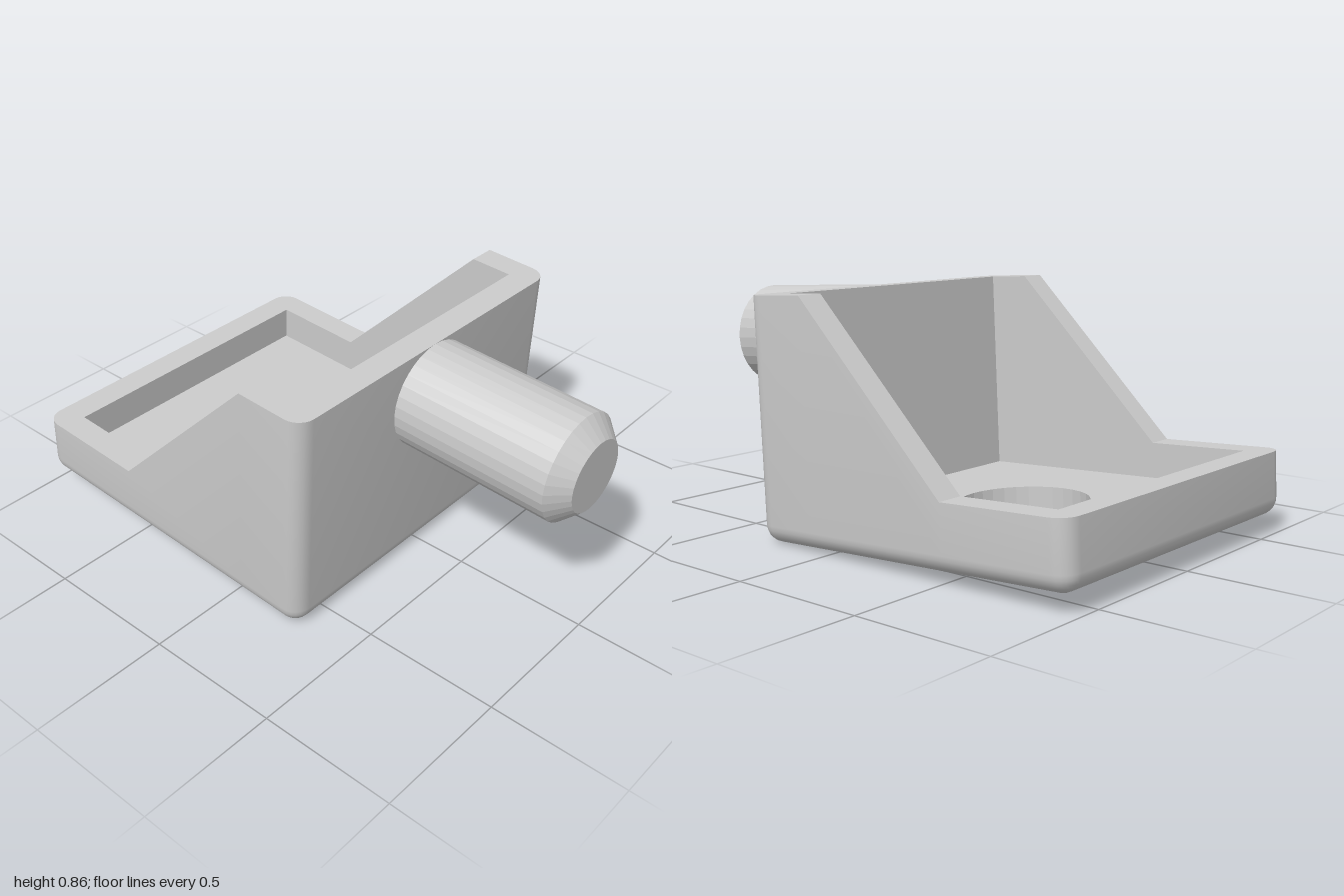
import * as THREE from 'three';
import { toCreasedNormals } from 'three/addons/utils/BufferGeometryUtils.js';

// Sizes in the bracket's own frame: x along the base, y up, z across
const L = 1.305, W = 0.655, H = 0.854, LOW = 0.232;
const R = 0.065, WALL = 0.1, S0 = 0.4715, S1 = 1.045;

// Height of the rim at a given x: low lip, slope, tall back
const rimY = x => LOW + (H - LOW) * THREE.MathUtils.clamp((x - S0) / (S1 - S0), 0, 1);

// Rounded rectangle, inset by d, with points where the rim bends
function outline(d) {
  const pts = [], steps = 6;
  for (let q = 0; q < 4; q++) {
    const cx = q === 0 || q === 3 ? L - R : R;
    const cz = q < 2 ? W - R : R - W;
    for (let i = 0; i <= steps; i++) {
      const t = (q + i / steps) * Math.PI / 2;
      pts.push([cx + (R - d) * Math.cos(t), cz + (R - d) * Math.sin(t)]);
    }
    if (q === 0) pts.push([S1, W - d], [S0, W - d]);
    if (q === 2) pts.push([S0, d - W], [S1, d - W]);
  }
  return pts;
}

// Skin closed rings of points together, skipping collapsed triangles
function loft(rings) {
  const pos = [], tri = new THREE.Triangle();
  const add = (a, b, c) => {
    tri.set(a, b, c);
    if (tri.getArea() > 1e-9) for (const p of [a, b, c]) pos.push(p.x, p.y, p.z);
  };
  for (let k = 0; k + 1 < rings.length; k++) {
    const lo = rings[k], hi = rings[k + 1], n = lo.length;
    for (let i = 0; i < n; i++) {
      const j = (i + 1) % n;
      add(lo[i], hi[i], hi[j]);
      add(lo[i], hi[j], lo[j]);
    }
  }
  const g = new THREE.BufferGeometry();
  g.setAttribute('position', new THREE.Float32BufferAttribute(pos, 3));
  return toCreasedNormals(g, 0.6);
}

export function createModel() {
  const model = new THREE.Group();
  const bracket = new THREE.Group();
  bracket.name = 'bracket';
  bracket.rotation.z = -THREE.MathUtils.degToRad(3);
  bracket.position.set(-1.003, 0.065, 0);
  model.add(bracket);

  const smooth = new THREE.MeshStandardMaterial({ color: 0xcccccc });
  const faceted = new THREE.MeshStandardMaterial({ color: 0xcccccc, flatShading: true });
  const addPart = (name, geometry, material) => {
    const mesh = new THREE.Mesh(geometry, material);
    mesh.name = name;
    bracket.add(mesh);
  };

  // Walls: rounded bottom edge, outer face, sloping rim, inner face
  const rings = [];
  for (let k = 0; k <= 6; k++) {
    const a = k / 6 * Math.PI / 2;
    rings.push(outline(R * (1 - Math.sin(a))).map(([x, z]) => new THREE.Vector3(x, R * (1 - Math.cos(a)), z)));
  }
  const outer = outline(0);
  const inner = outer.map(([x, z]) => [
    THREE.MathUtils.clamp(x, WALL, L - WALL),
    THREE.MathUtils.clamp(z, WALL - W, W - WALL),
  ]);
  rings.push(outer.map(([x, z]) => new THREE.Vector3(x, rimY(x), z)));
  rings.push(inner.map(([x, z]) => new THREE.Vector3(x, rimY(x), z)));
  rings.push(inner.map(([x, z]) => new THREE.Vector3(x, WALL, z)));
  addPart('walls', loft(rings), smooth);

  // Floor plate with a round through hole
  const plate = new THREE.Shape([
    new THREE.Vector2(R, R - W), new THREE.Vector2(L - R, R - W),
    new THREE.Vector2(L - R, W - R), new THREE.Vector2(R, W - R),
  ]);
  const hole = new THREE.Path();
  hole.absarc(L / 2, 0, 0.23, 0, Math.PI * 2, true);
  plate.holes.push(hole);
  const floor = new THREE.ExtrudeGeometry(plate, { depth: WALL, bevelEnabled: false, curveSegments: 16 });
  floor.rotateX(Math.PI / 2).translate(0, WALL, 0);
  addPart('floor', floor, smooth);

  // Peg with a chamfered tip, standing out from the tall wall
  const profile = [[0.195, L - 0.05], [0.195, 1.897], [0.13, 1.963], [0, 1.963]];
  const peg = new THREE.LatheGeometry(profile.map(([r, y]) => new THREE.Vector2(r, y)), 32);
  peg.rotateZ(-Math.PI / 2).translate(0, 0.659, 0);
  addPart('peg', peg, faceted);

  return model;
}
